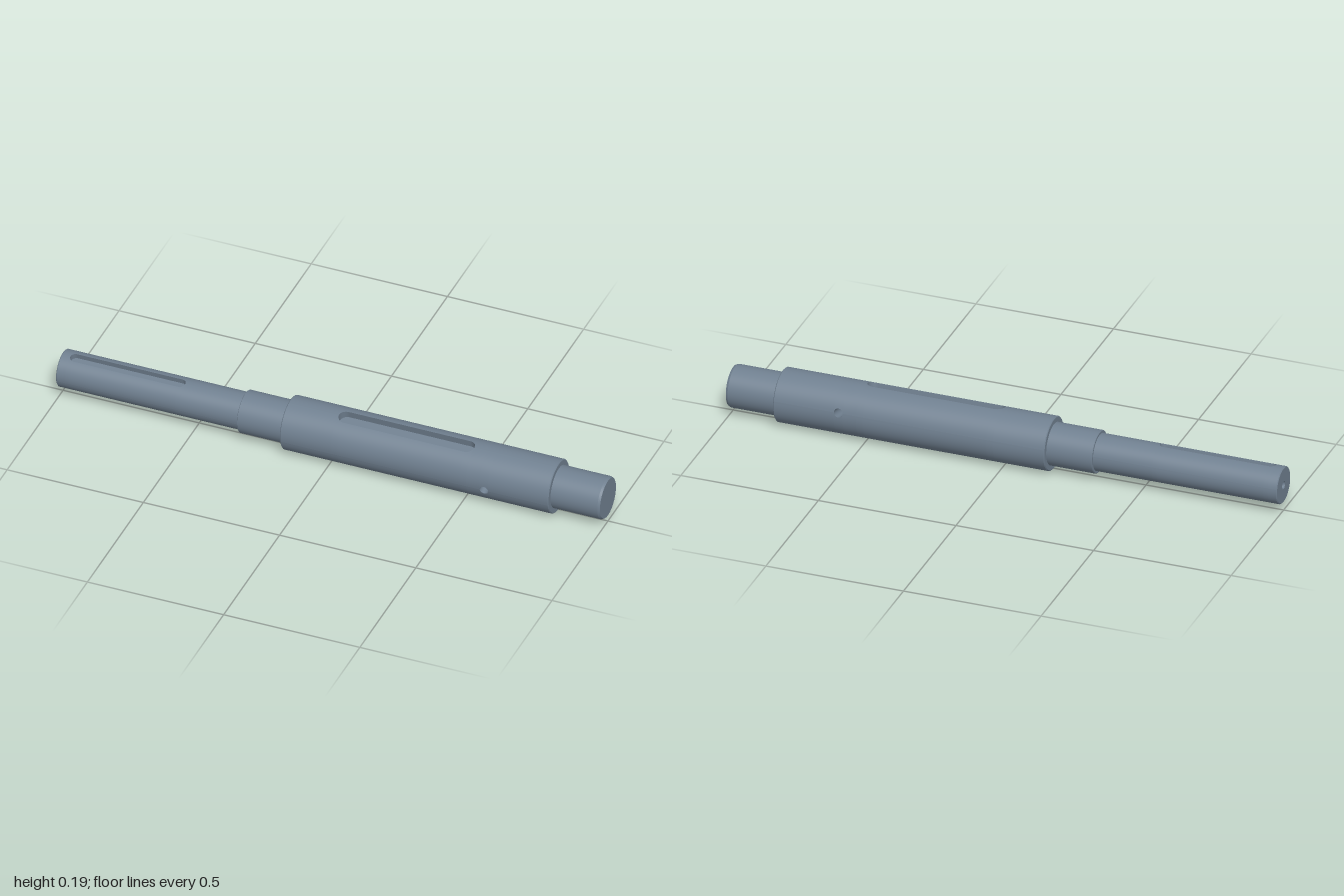
import * as THREE from 'three';

const TILT = THREE.MathUtils.degToRad(12); // keyways sit rolled towards the front
const AXIS_Y = 0.0955;
const SEGS = 72;

// Surface from a grid of points at(i, j); it faces along (j direction) x (i direction)
function grid(rows, cols, at) {
  const pos = [], idx = [];
  for (let i = 0; i < rows; i++) for (let j = 0; j < cols; j++) pos.push(...at(i, j));
  for (let i = 0; i < rows - 1; i++) {
    for (let j = 0; j < cols - 1; j++) {
      const a = i * cols + j, c = a + cols;
      idx.push(a, a + 1, c, a + 1, c + 1, c);
    }
  }
  const g = new THREE.BufferGeometry();
  g.setAttribute('position', new THREE.Float32BufferAttribute(pos, 3));
  g.setIndex(idx);
  g.computeVertexNormals();
  return g;
}

// Outline of a round-ended cut as [x, half width] stations along the shaft
function stations({ x0, x1, w }) {
  const N = 10, left = [], right = [];
  for (let k = 0; k <= N; k++) {
    const t = (k / N) * Math.PI / 2;
    const half = k === 0 ? 0 : w * Math.sin(t);
    left.push([x0 + w * (1 - Math.cos(t)), half]);
    right.unshift([x1 - w * (1 - Math.cos(t)), half]);
  }
  return x1 - x0 > 2 * w + 1e-6 ? [...left, ...right] : [...left, ...right.slice(1)];
}

export function createModel() {
  const steel = new THREE.MeshStandardMaterial({ color: 0x708090 });
  steel.name = 'blue grey steel';
  const shaft = new THREE.Group();
  shaft.name = 'steppedShaft';
  const add = (name, geometry) => {
    const mesh = new THREE.Mesh(geometry, steel);
    mesh.name = name;
    shaft.add(mesh);
  };

  // Turned surfaces: each run of [x, radius] points makes sharp-edged bands
  const turned = (name, points) => {
    for (let k = 0; k < points.length - 1; k++) {
      const pair = [points[k], points[k + 1]].map(([x, r]) => new THREE.Vector2(r, x));
      add(name, new THREE.LatheGeometry(pair, SEGS).rotateZ(-Math.PI / 2));
    }
  };

  // Cylinder band with gaps left for a keyway (top) and a cross hole (front and back)
  const cutBand = (name, x0, x1, r, slot, hole) => {
    const rows = [[x0, 0, 0], ...stations(slot).map(([x, w]) => [x, Math.asin(w / r), 0])];
    if (hole) rows.push(...stations(hole).map(([x, w]) => [x, 0, Math.asin(w / r)]));
    rows.push([x1, 0, 0]);
    const q = Math.PI / 2;
    const arcs = [
      [(s, h) => [s, q - h], 18],
      [(s, h) => [q + h, 3 * q - h], 36],
      [(s, h) => [3 * q + h, 4 * q - s], 18],
    ];
    for (const [range, n] of arcs) {
      add(name, grid(rows.length, n + 1, (i, j) => {
        const [x, s, h] = rows[i];
        const [a, b] = range(s, h);
        const t = a + (b - a) * j / n;
        return [x, r * Math.cos(t), r * Math.sin(t)];
      }));
    }
  };

  // Walls of a cut running from the cylinder surface down to a floor height
  const cutWalls = (name, cut, r, floor, angle = 0) => {
    const st = stations(cut);
    const back = st.slice(0, -1).reverse().map(([x, w]) => [x, -w]);
    const loop = [...st, ...back];
    add(name, grid(loop.length, 2, (i, j) => {
      const [x, w] = loop[i];
      return [x, j ? Math.sqrt(r * r - w * w) : floor, w];
    }).rotateX(angle));
  };
  const cutFloor = (name, cut, floor) => {
    const st = stations(cut);
    add(name, grid(st.length, 2, (i, j) => [st[i][0], floor, (j ? 1 : -1) * st[i][1]]));
  };

  const R1 = 0.066, R2 = 0.0755, R3 = 0.0955;
  const slot1 = { x0: -0.967, x1: -0.546, w: 0.018 };
  const slot2 = { x0: 0.021, x1: 0.518, w: 0.026 };
  const pin = { x0: 0.567, x1: 0.599, w: 0.016 };

  // Centre hole and drive end
  turned('centreHole', [[-0.93, 0], [-0.945, 0.014], [-1, 0.014]]);
  turned('driveEndFace', [[-1, 0.014], [-1, R1 - 0.003], [-0.997, R1]]);
  cutBand('driveEnd', -0.997, -0.332, R1, slot1, null);

  // Rear journal and shoulders
  turned('rearJournal', [[-0.332, R1], [-0.332, R2 - 0.002], [-0.33, R2], [-0.166, R2],
    [-0.166, R3 - 0.003], [-0.163, R3]]);

  // Main body with keyway and cross hole
  cutBand('mainBody', -0.163, 0.817, R3, slot2, pin);

  // Front journal with chamfered end
  turned('frontJournal', [[0.817, R3], [0.82, R3 - 0.003], [0.82, R2], [0.992, R2],
    [1, R2 - 0.004], [1, 0]]);

  // Keyway pockets and through hole
  cutWalls('driveKeywayWalls', slot1, R1, 0.044);
  cutFloor('driveKeywayFloor', slot1, 0.044);
  cutWalls('bodyKeywayWalls', slot2, R3, 0.066);
  cutFloor('bodyKeywayFloor', slot2, 0.066);
  for (const side of [1, -1]) cutWalls('crossHole', pin, R3, 0, side * Math.PI / 2);

  shaft.rotation.x = TILT;
  shaft.position.y = AXIS_Y;
  const model = new THREE.Group();
  model.name = 'driveShaft';
  model.add(shaft);
  return model;
}
